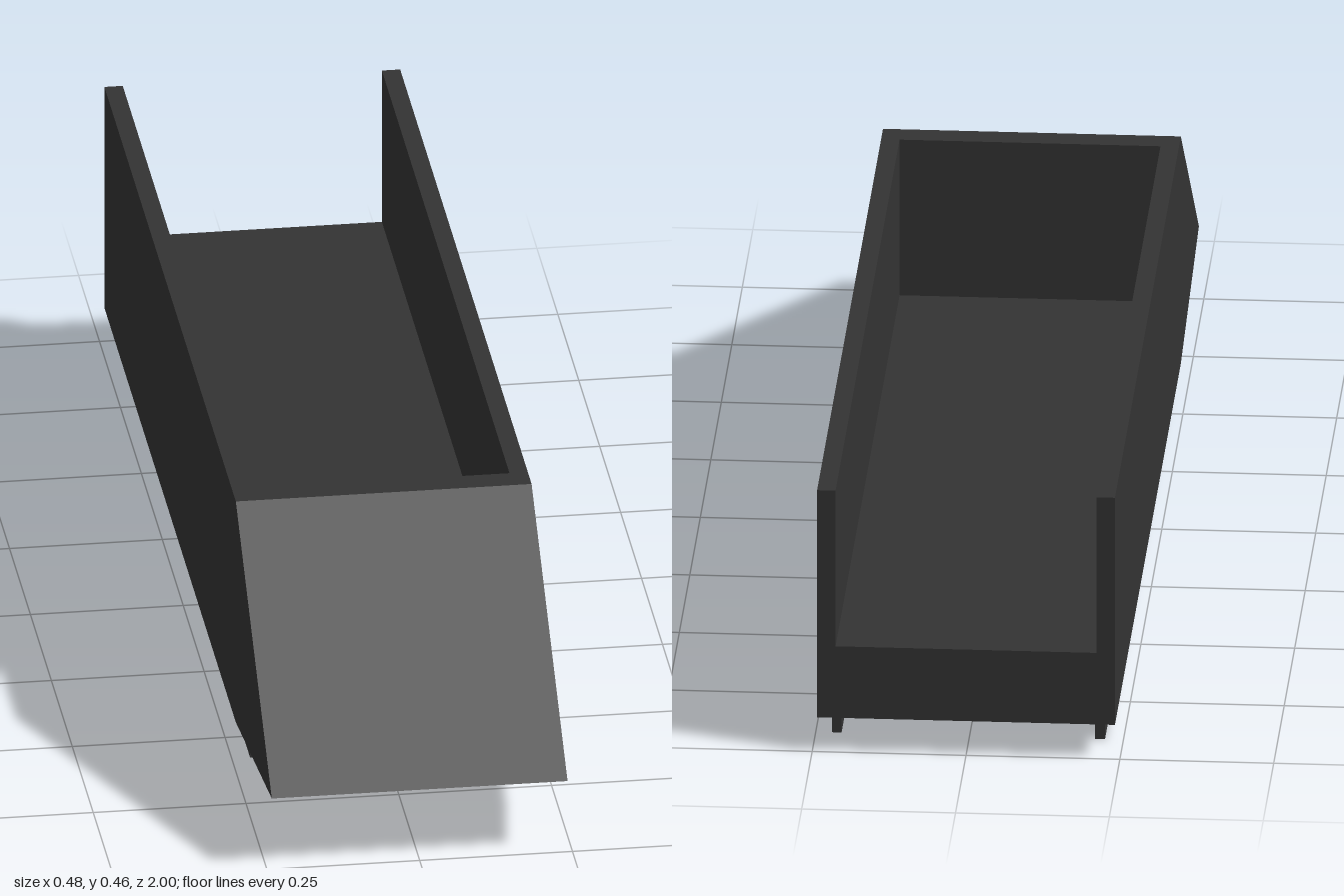
import * as THREE from 'three';

const W = 0.242, IN = 0.212;            // outer and inner half widths
const TOP = 0.457, BASE = 0.06, FLOOR = 0.185;
const BACK = -1, SHOULDER = 0.57, WALL = 0.525;

// Builds a flat-faced geometry from polygons with counter-clockwise corners
function facesGeometry(polygons) {
  const pos = [];
  for (const p of polygons) {
    for (let i = 1; i < p.length - 1; i++) pos.push(...p[0], ...p[i], ...p[i + 1]);
  }
  const g = new THREE.BufferGeometry();
  g.setAttribute('position', new THREE.Float32BufferAttribute(pos, 3));
  g.computeVertexNormals();
  return g;
}

// Open-backed trough with a wedge nose
function hullGeometry() {
  const profile = [[BASE, BACK], [BASE, SHOULDER], [0.127, 1], [TOP, SHOULDER], [TOP, BACK]];
  const polygons = [];

  // nose and underside, swept across the width
  for (let i = 0; i < 3; i++) {
    const [ya, za] = profile[i], [yb, zb] = profile[i + 1];
    polygons.push([[-W, ya, za], [W, ya, za], [W, yb, zb], [-W, yb, zb]]);
  }

  // mirrored pairs: outer side, inner side, rim and rear edge of each wall
  const half = [
    profile.map(([y, z]) => [W, y, z]).reverse(),
    [[IN, FLOOR, BACK], [IN, FLOOR, WALL], [IN, TOP, WALL], [IN, TOP, BACK]],
    [[IN, TOP, BACK], [IN, TOP, WALL], [W, TOP, SHOULDER], [W, TOP, BACK]],
    [[W, BASE, BACK], [IN, FLOOR, BACK], [IN, TOP, BACK], [W, TOP, BACK]],
  ];
  for (const p of half) {
    polygons.push(p, p.map(([x, y, z]) => [-x, y, z]).reverse());
  }

  // front rim, cavity front wall, cavity floor, rear sill
  polygons.push(
    [[-W, TOP, SHOULDER], [W, TOP, SHOULDER], [IN, TOP, WALL], [-IN, TOP, WALL]],
    [[-IN, TOP, WALL], [IN, TOP, WALL], [IN, FLOOR, WALL], [-IN, FLOOR, WALL]],
    [[-IN, FLOOR, WALL], [IN, FLOOR, WALL], [IN, FLOOR, BACK], [-IN, FLOOR, BACK]],
    [[-IN, FLOOR, BACK], [IN, FLOOR, BACK], [W, BASE, BACK], [-W, BASE, BACK]],
  );
  return facesGeometry(polygons);
}

export function createModel() {
  const model = new THREE.Group();
  model.name = 'sled';
  const material = new THREE.MeshStandardMaterial({ color: 0x333333, flatShading: true, side: THREE.DoubleSide });

  const add = (name, geometry, parent = model) => {
    const mesh = new THREE.Mesh(geometry, material);
    mesh.name = name;
    parent.add(mesh);
    return mesh;
  };

  add('hull', hullGeometry());

  // Runners, each carried by two short posts
  for (const [side, x] of [['left', 0.216], ['right', -0.212]]) {
    const group = new THREE.Group();
    group.name = side + 'Runner';
    group.position.x = x;
    add('runnerBar', new THREE.BoxGeometry(0.016, 0.034, 1.495), group).position.set(0, 0.017, -0.167);
    for (const z of [0.463, -0.861]) {
      add('runnerPost', new THREE.BoxGeometry(0.016, 0.026, 0.04), group).position.set(0, 0.047, z);
    }
    model.add(group);
  }
  return model;
}
